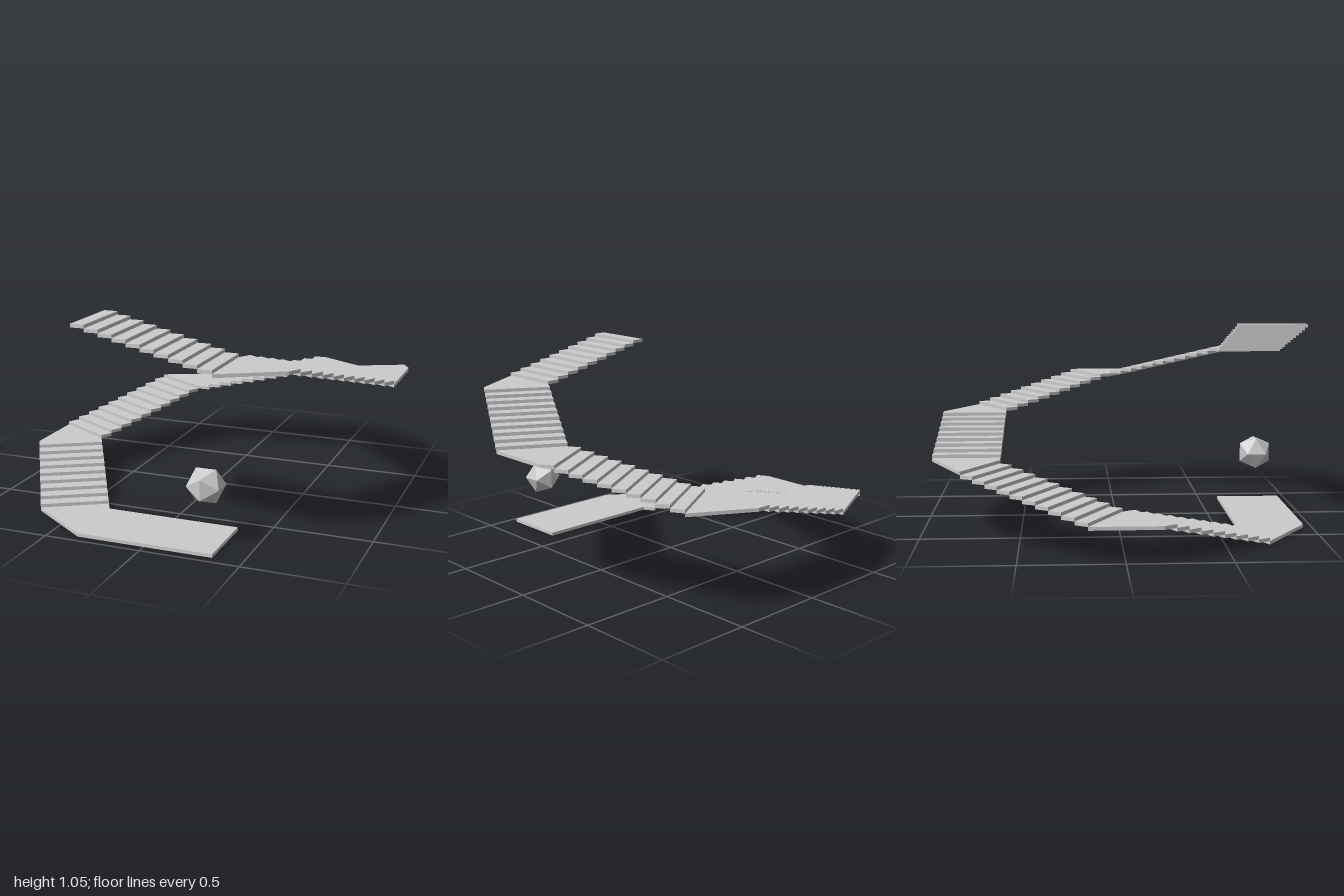
import * as THREE from 'three';

const RADIUS = 0.698;   // inner hexagon corner radius
const WIDTH = 0.349;    // tread width, outwards from the hexagon
const STEPS = 10;       // tread slots per hexagon edge
const RISE = 0.0175;    // rise and thickness of every tread

const polar = (degrees, r) => {
  const a = THREE.MathUtils.degToRad(degrees);
  return new THREE.Vector2(Math.cos(a) * r, Math.sin(a) * r);
};

// Inner corners of the hexagon, in plan (x, -z), starting at front left
const corner = (k) => polar(-60 - 60 * k, RADIUS);

// Point on a flight: slot counts treads along the edge, out is the offset outwards
const onFlight = (flight, slot, out) =>
  corner(flight).lerp(corner(flight + 1), slot / STEPS).add(polar(-90 - 60 * flight, out));

export function createModel() {
  const group = new THREE.Group();
  group.name = 'hexagonalStaircase';
  const material = new THREE.MeshStandardMaterial({ color: 0xcccccc, flatShading: true });
  let level = 0;

  // A flat slab with the given plan outline, one rise above the last
  function addSlab(name, points) {
    const outline = points.filter((p, i) => i === 0 || p.distanceTo(points[i - 1]) > 1e-4);
    const geometry = new THREE.ExtrudeGeometry(new THREE.Shape(outline), { depth: RISE, bevelEnabled: false });
    geometry.rotateX(-Math.PI / 2);
    const slab = new THREE.Mesh(geometry, material);
    slab.name = name;
    slab.position.y = level++ * RISE;
    group.add(slab);
  }

  // Slots that each corner landing takes from the flight before and after it;
  // the first landing takes the whole ground platform
  const landings = [[STEPS, 1], [1, 0], [0, 1], [1, 0], [1, 0], [1, 0]];

  landings.forEach(([before, after], i) => {
    const flight = i + 1;
    const start = STEPS - before;
    addSlab(i === 0 ? 'groundLanding' : 'cornerLanding', [
      onFlight(i, start, 0),
      onFlight(i, start, WIDTH),
      onFlight(i, STEPS, WIDTH),
      onFlight(flight, after, WIDTH),
      onFlight(flight, after, 0),
      corner(flight),
    ].filter((p, n) => !(n === 2 && before === 0)));

    // Treads up to the next landing
    const end = STEPS - (landings[i + 1]?.[0] ?? 0);
    for (let s = after; s < end; s++) {
      addSlab('tread', [
        onFlight(flight, s, 0),
        onFlight(flight, s, WIDTH),
        onFlight(flight, s + 1, WIDTH),
        onFlight(flight, s + 1, 0),
      ]);
    }
  });

  // Floating faceted ball above the ground landing
  const ball = new THREE.Mesh(new THREE.IcosahedronGeometry(0.0975, 0), material);
  ball.name = 'facetedBall';
  ball.position.set(0.26, 0.292, 0.8);
  group.add(ball);

  return group;
}
